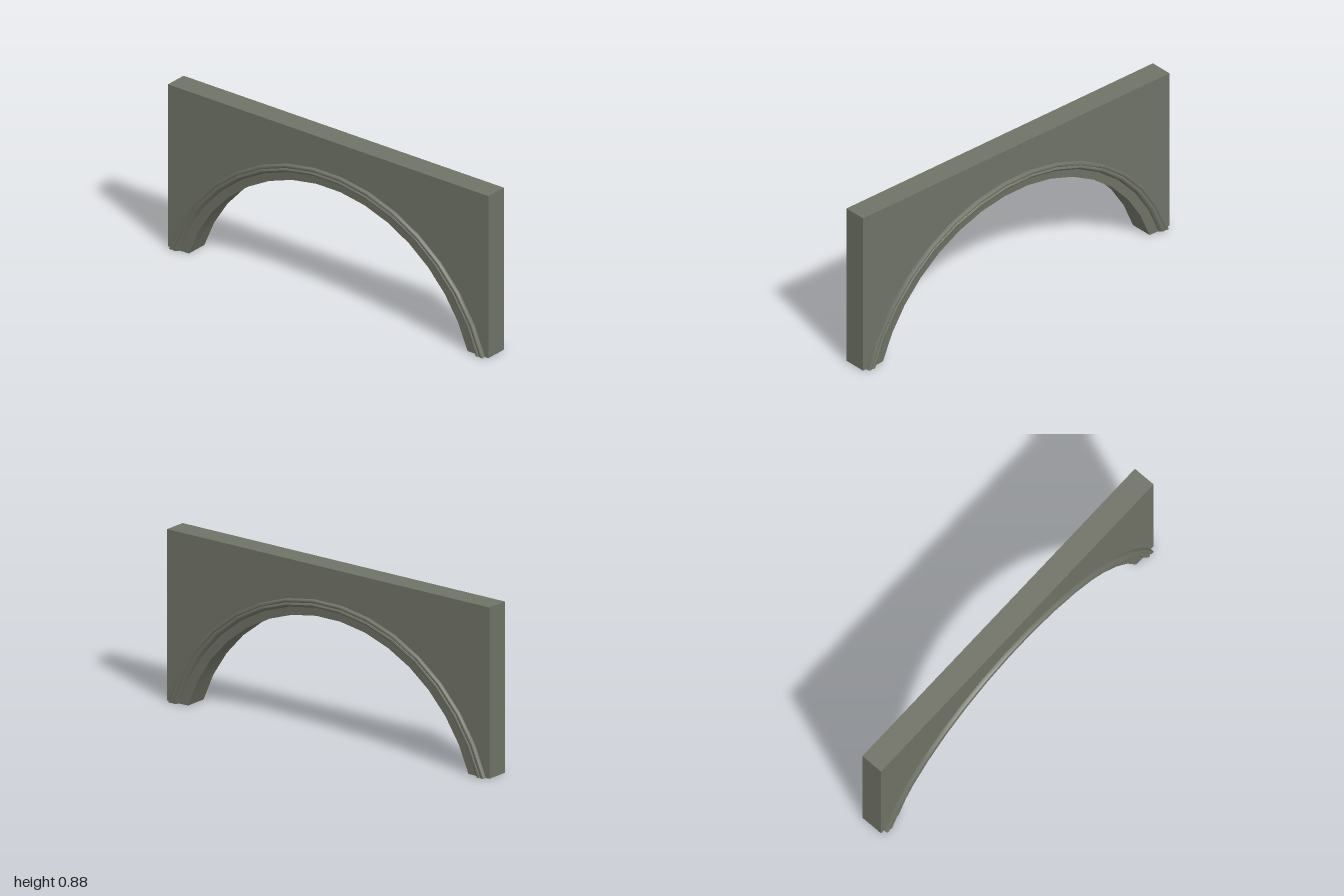
import * as THREE from 'three';
import { toCreasedNormals } from 'three/addons/utils/BufferGeometryUtils.js';

const SEGMENTS = 15;
const HALF = 0.061; // half thickness of the wall
const HEIGHT = 0.88;

// Point on a segmental arc; t runs from the opening (0) to the outer edge of the trim (1)
function arcPoint(t, i) {
  const w = THREE.MathUtils.lerp(0.87, 0.979, t);
  const h = THREE.MathUtils.lerp(0.624, 0.708, t);
  const r = (w * w + h * h) / (2 * h);
  const a = Math.asin(w / r) * (2 * i / SEGMENTS - 1);
  return [r * Math.sin(a), Math.max(0, r * Math.cos(a) + h - r)];
}

// Wall with the arched opening cut out of its underside
function wallGeometry() {
  const shape = new THREE.Shape();
  shape.moveTo(-1, 0);
  for (let i = 0; i <= SEGMENTS; i++) shape.lineTo(...arcPoint(0, i));
  shape.lineTo(1, 0);
  shape.lineTo(1, HEIGHT);
  shape.lineTo(-1, HEIGHT);
  shape.closePath();
  const geo = new THREE.ExtrudeGeometry(shape, { depth: 2 * HALF, bevelEnabled: false });
  geo.translate(0, 0, -HALF);
  geo.rotateY(-Math.PI / 2);
  return toCreasedNormals(geo, 0.35);
}

// Trim cross-section: [t across the band, distance from the wall's middle]
const PROFILE = [
  [0, HALF], [0.5, 0.064], [0.54, 0.072], [0.6, 0.079], [0.68, 0.083],
  [0.76, 0.081], [0.8, 0.077], [0.83, 0.081], [0.88, 0.083], [0.97, 0.082],
  [1, 0.079], [1, HALF - 0.002],
];

// Trim swept along the arch on one face of the wall, with closed feet
function trimGeometry(side) {
  const pos = [];
  const index = [];
  const n = PROFILE.length;
  const tri = (a, b, c) => (side > 0 ? index.push(a, b, c) : index.push(a, c, b));
  const add = (t, x, i) => {
    const [z, y] = arcPoint(t, i);
    pos.push(side * x, y, z);
  };
  for (let i = 0; i <= SEGMENTS; i++) PROFILE.forEach(([t, x]) => add(t, x, i));
  for (let i = 0; i < SEGMENTS; i++) {
    for (let j = 0; j < n - 1; j++) {
      const a = i * n + j;
      tri(a, a + 1, a + n);
      tri(a + 1, a + n + 1, a + n);
    }
  }
  const foot = pos.length / 3;
  add(0.77, HALF - 0.002, 0);
  add(0.77, HALF - 0.002, SEGMENTS);
  for (let j = 0; j < n - 1; j++) {
    const end = SEGMENTS * n + j;
    tri(foot, j + 1, j);
    tri(foot + 1, end, end + 1);
  }
  const geo = new THREE.BufferGeometry();
  geo.setAttribute('position', new THREE.Float32BufferAttribute(pos, 3));
  geo.setIndex(index);
  return toCreasedNormals(geo, 0.8);
}

export function createModel() {
  const stone = new THREE.MeshStandardMaterial({ color: 0x6f7266 });
  stone.name = 'grey stone';
  const group = new THREE.Group();
  group.name = 'archway';

  const wall = new THREE.Mesh(wallGeometry(), stone);
  wall.name = 'archWall';
  group.add(wall);

  // Matching trims on both faces
  for (const side of [-1, 1]) {
    const trim = new THREE.Mesh(trimGeometry(side), stone);
    trim.name = side > 0 ? 'leftTrim' : 'rightTrim';
    group.add(trim);
  }
  return group;
}
